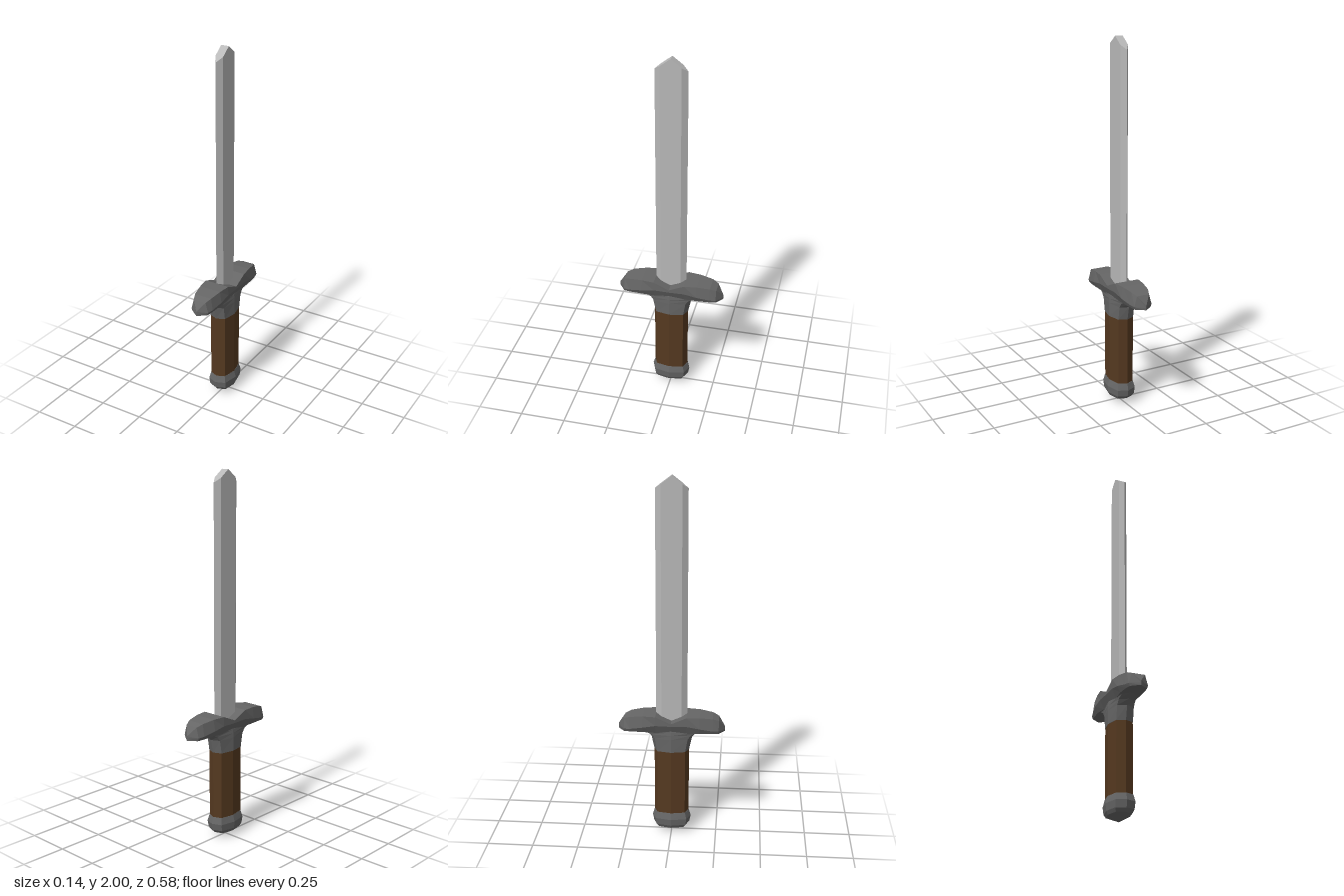
import * as THREE from 'three';

const material = (name, color) => {
  const m = new THREE.MeshStandardMaterial({ color, flatShading: true });
  m.name = name;
  return m;
};

// Joins rings of points (counterclockwise seen from the last ring) and caps both ends.
function loft(rings) {
  const pos = [];
  const tri = (...pts) => pts.forEach((p) => pos.push(...p));
  const n = rings[0].length;
  const middle = (r) => r[0].map((v, k) => (v + r[n / 2][k]) / 2);
  const first = rings[0], last = rings[rings.length - 1];
  for (let j = 0; j < n; j++) {
    const k = (j + 1) % n;
    for (let i = 0; i < rings.length - 1; i++) {
      const a = rings[i], b = rings[i + 1];
      tri(a[j], a[k], b[k]);
      tri(a[j], b[k], b[j]);
    }
    tri(middle(first), first[k], first[j]);
    tri(middle(last), last[j], last[k]);
  }
  const g = new THREE.BufferGeometry();
  g.setAttribute('position', new THREE.Float32BufferAttribute(pos, 3));
  g.computeVertexNormals();
  return g;
}

// Eight-sided handle section, scaled to half-widths rx and rz.
const OVAL = [[1, 0], [0.75, -0.8], [0, -1], [-0.75, -0.8], [-1, 0], [-0.75, 0.8], [0, 1], [0.75, 0.8]];
const handle = (levels) => loft(levels.map(([y, rx, rz]) => OVAL.map(([x, z]) => [x * rx, y, z * rz])));

export function createModel() {
  const steel = material('blade steel', 0xb8b8b8);
  const iron = material('dark iron', 0x666666);
  const leather = material('brown grip', 0x553920);

  const group = new THREE.Group();
  group.name = 'sword';
  const add = (name, geometry, mat) => {
    const mesh = new THREE.Mesh(geometry, mat);
    mesh.name = name;
    group.add(mesh);
  };

  // Blade: flat sides, bevelled edges and a roof-shaped tip
  const section = [[0.022, 0], [0.022, -0.055], [0, -0.085], [-0.022, -0.055],
    [-0.022, 0], [-0.022, 0.055], [0, 0.085], [0.022, 0.055]];
  add('blade', loft([
    section.map(([x, z]) => [x, 0.64, z]),
    section.map(([x, z]) => [x, 2 - Math.abs(z) * 0.76, z]),
  ]), steel);

  // Crossguard: mirrored stations of z, top width/height, side width/height, bottom width/height
  const half = [
    [0, 0.072, 0.675, 0.072, 0.66, 0.05, 0.61],
    [0.085, 0.071, 0.713, 0.072, 0.662, 0.05, 0.612],
    [0.155, 0.062, 0.712, 0.072, 0.65, 0.056, 0.617],
    [0.225, 0.05, 0.702, 0.06, 0.635, 0.052, 0.617],
    [0.258, 0.036, 0.688, 0.052, 0.632, 0.046, 0.616],
    [0.292, 0.001, 0.642, 0.001, 0.628, 0.001, 0.616],
  ];
  const stations = [...half.slice(1).reverse().map(([z, ...r]) => [-z, ...r]), ...half];
  add('crossguard', loft(stations.map(([z, wt, top, ws, side, wb, bottom]) => [
    [wb, bottom, z], [ws, side, z], [wt, top, z], [-wt, top, z], [-ws, side, z], [-wb, bottom, z],
  ])), iron);

  // Handle from the flared collar down to the pommel
  add('collar', handle([[0.5, 0.061, 0.096], [0.575, 0.061, 0.112], [0.6, 0.06, 0.135],
    [0.62, 0.058, 0.19], [0.65, 0.05, 0.19]]), iron);
  add('grip', handle([[0.11, 0.06, 0.095], [0.5, 0.06, 0.095]]), leather);
  add('pommel', handle([[0, 0.001, 0.001], [0.032, 0.058, 0.085], [0.05, 0.067, 0.1],
    [0.088, 0.071, 0.107], [0.125, 0.061, 0.096]]), iron);

  return group;
}
